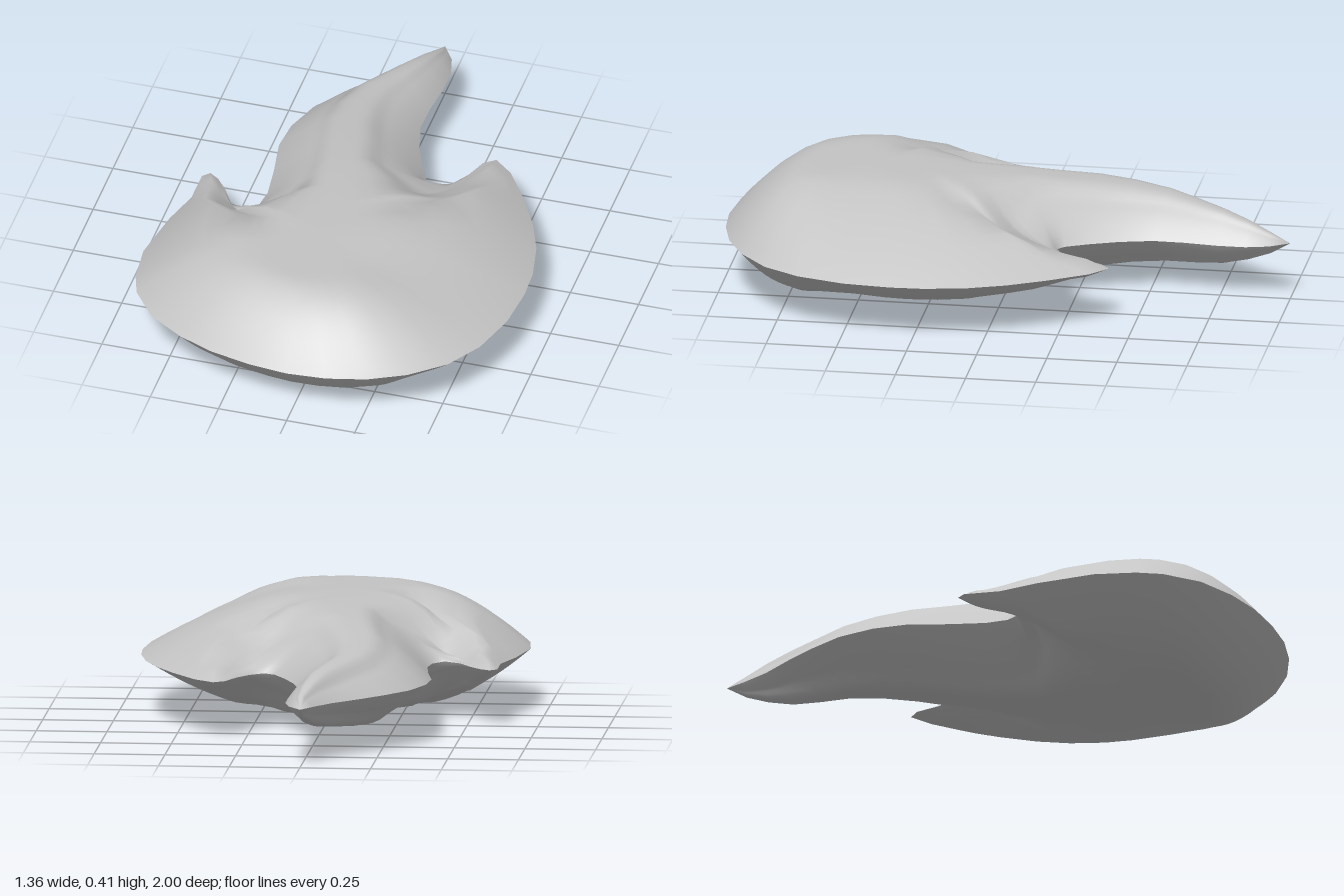
import * as THREE from 'three';
import { mergeVertices } from 'three/addons/utils/BufferGeometryUtils.js';

// Right-hand outline [x, z] from the tail tip to the round front, with a large horn
const plusSide = [
  [0, -1], [0.045, -0.93], [0.065, -0.85], [0.065, -0.75], [0.052, -0.63], [0.05, -0.52], [0.08, -0.4],
  [0.12, -0.3], [0.16, -0.22], [0.2, -0.19], [0.25, -0.235], [0.29, -0.3], [0.32, -0.38], [0.36, -0.41],
  [0.43, -0.35], [0.52, -0.21], [0.59, -0.08], [0.64, 0.05], [0.67, 0.2], [0.675, 0.32], [0.66, 0.49],
  [0.61, 0.66], [0.53, 0.79], [0.41, 0.89], [0.28, 0.955], [0.14, 0.99], [0, 1],
];
// Opposite outline with the small horn
const minusSide = [
  [0, -1], [-0.04, -0.93], [-0.1, -0.84], [-0.19, -0.74], [-0.27, -0.64], [-0.345, -0.53], [-0.39, -0.4],
  [-0.4, -0.28], [-0.375, -0.13], [-0.36, 0], [-0.37, 0.08], [-0.41, 0.135], [-0.47, 0.09], [-0.51, 0.02],
  [-0.55, -0.03], [-0.585, -0.055], [-0.61, -0.03], [-0.61, 0.1], [-0.65, 0.24], [-0.685, 0.45], [-0.67, 0.6],
  [-0.64, 0.69], [-0.55, 0.81], [-0.42, 0.895], [-0.29, 0.95], [-0.14, 0.985], [0, 1],
];
// Spine [x, z, half thickness], one entry per outline pair
const spine = [
  [0, -1, 0], [0.003, -0.93, 0.038], [-0.02, -0.85, 0.07], [-0.045, -0.76, 0.096], [-0.085, -0.66, 0.112],
  [-0.135, -0.55, 0.126], [-0.15, -0.43, 0.14], [-0.14, -0.3, 0.156], [-0.11, -0.16, 0.172], [-0.085, -0.02, 0.188],
  [-0.075, 0.08, 0.194], [-0.07, 0.16, 0.199], [-0.065, 0.22, 0.201], [-0.06, 0.27, 0.203], [-0.055, 0.31, 0.204],
  [-0.05, 0.35, 0.205], [-0.05, 0.39, 0.206], [-0.05, 0.42, 0.207], [-0.05, 0.45, 0.207], [-0.05, 0.48, 0.207],
  [-0.05, 0.51, 0.207], [-0.05, 0.54, 0.207], [-0.05, 0.56, 0.207], [-0.05, 0.58, 0.207], [-0.05, 0.6, 0.207],
  [-0.05, 0.62, 0.207], [-0.05, 0.63, 0.207],
];
const MID = 0.208, STEPS = 16;
const { lerp, smoothstep } = THREE.MathUtils;
const outline = [...plusSide, ...minusSide.slice(1, -1).reverse()];

// Distance from a point to the outline
function edgeDistance(x, z) {
  let best = Infinity;
  outline.forEach(([ax, az], i) => {
    const [bx, bz] = outline[(i + 1) % outline.length];
    const dx = bx - ax, dz = bz - az;
    const t = THREE.MathUtils.clamp(((x - ax) * dx + (z - az) * dz) / (dx * dx + dz * dz), 0, 1);
    best = Math.min(best, Math.hypot(x - ax - t * dx, z - az - t * dz));
  });
  return best;
}

// Where a rib bends on its way in from a horn; elsewhere ribs are straight
function ribBend(i, plus, p, s) {
  if (plus && i >= 10 && i <= 14) return [0.2 + 0.05 * (i - 9), -0.06];
  if (!plus && i >= 12 && i <= 17) return [-0.41 - 0.03 * (i - 11), 0.22];
  return [(p[0] + s[0]) / 2, (p[1] + s[1]) / 2];
}

// Point on rib i, from the rim (t = 0) to the spine (t = 1)
function ribPoint(i, plus, t) {
  const p = (plus ? plusSide : minusSide)[i], s = spine[i];
  const c = ribBend(i, plus, p, s);
  const at = (k) => (1 - t) * (1 - t) * p[k] + 2 * t * (1 - t) * c[k] + t * t * s[k];
  const x = at(0), z = at(1);
  const shoulder = lerp(plus ? 0.57 : 0.4, 0.28, smoothstep(p[1], 0.5, 0.95));
  const reach = Math.min(Math.hypot(p[0] - s[0], p[1] - s[1]), shoulder) || 1;
  const d = t === 0 ? 0 : edgeDistance(x, z);
  const u = lerp(Math.min(1, d / reach), 1, smoothstep(t, 0.55, 1));
  return [x, s[2] * (1 - Math.pow(1 - u, 1.7)), z];
}

// One half of the pillow; sign is 1 for the top and -1 for the underside
function shell(sign) {
  const positions = [], index = [], cols = 2 * STEPS + 1;
  for (let i = 0; i < spine.length; i++) {
    for (let k = 0; k < cols; k++) {
      const t = Math.pow(1 - Math.abs(k - STEPS) / STEPS, 1.3);
      const [x, y, z] = ribPoint(i, k <= STEPS, t);
      positions.push(x, MID + sign * y, z);
      if (i === spine.length - 1 || k === cols - 1) continue;
      const a = i * cols + k, b = a + 1, c = a + cols, e = c + 1;
      if (sign > 0) index.push(a, b, c, c, b, e);
      else index.push(a, c, b, c, e, b);
    }
  }
  let geometry = new THREE.BufferGeometry();
  geometry.setAttribute('position', new THREE.Float32BufferAttribute(positions, 3));
  geometry.setIndex(index);
  geometry = mergeVertices(geometry, 1e-5);
  geometry.computeVertexNormals();
  return geometry;
}

export function createModel() {
  const group = new THREE.Group();
  group.name = 'flame';
  const grey = new THREE.MeshStandardMaterial({ color: 0xc4c4c4 });
  grey.name = 'light grey';
  for (const [name, sign] of [['flameTop', 1], ['flameUnderside', -1]]) {
    const mesh = new THREE.Mesh(shell(sign), grey);
    mesh.name = name;
    group.add(mesh);
  }
  return group;
}
